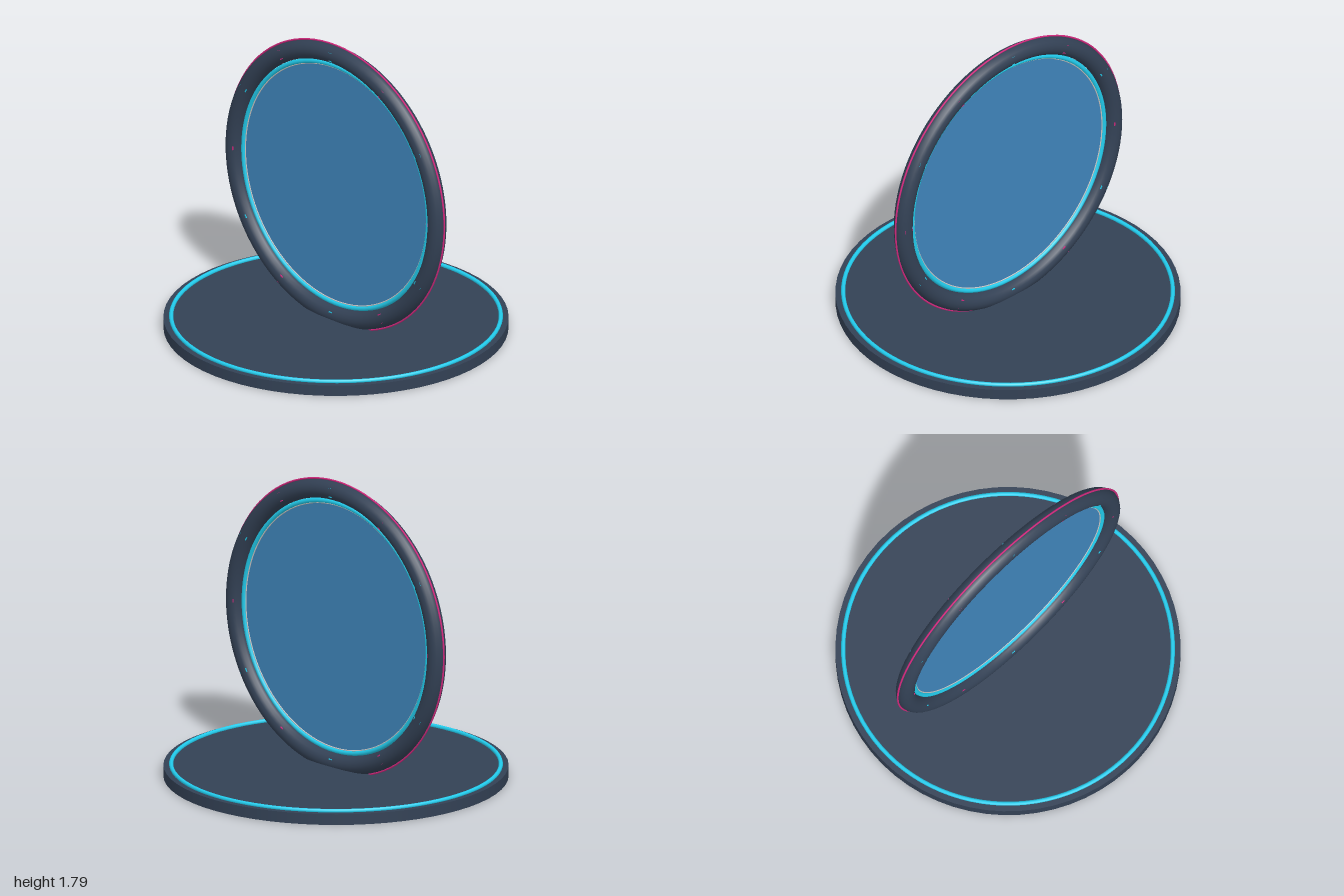
import * as THREE from 'three';

const material = (color) => new THREE.MeshStandardMaterial({ color });
const dark = material(0x334155);
const cyan = material(0x22cdee);
const magenta = material(0xd42a80);
const white = material(0xffffff);
const blue = material(0x3f85bb);
blue.side = THREE.DoubleSide;

function add(parent, name, geometry, mat) {
  const mesh = new THREE.Mesh(geometry, mat);
  mesh.name = name;
  parent.add(mesh);
  return mesh;
}

export function createModel() {
  const model = new THREE.Group();
  model.name = 'portal';

  // Round floor plate with a glowing rim
  const base = add(model, 'basePlate', new THREE.CylinderGeometry(1, 1, 0.065, 64), dark);
  base.position.y = 0.0325;
  const rim = add(model, 'baseGlowRing', new THREE.TorusGeometry(0.955, 0.0125, 8, 96), cyan);
  rim.rotation.x = Math.PI / 2;
  rim.position.y = 0.071;

  // Upright gate, sunk slightly into the plate
  const gate = new THREE.Group();
  gate.name = 'gate';
  gate.position.y = 0.9;
  model.add(gate);

  add(gate, 'frame', new THREE.TorusGeometry(0.82, 0.055, 16, 96), dark);
  add(gate, 'innerGlowRing', new THREE.TorusGeometry(0.75, 0.0145, 8, 96), cyan);
  add(gate, 'innerEdgeRing', new THREE.TorusGeometry(0.735, 0.004, 6, 96), white);
  add(gate, 'outerGlowRing', new THREE.TorusGeometry(0.88, 0.0055, 6, 96), magenta);
  add(gate, 'portalSurface', new THREE.CircleGeometry(0.735, 96), blue);

  // Twelve marker blocks in alternating colours, barely breaking the frame surface
  const markerShape = new THREE.BoxGeometry(0.055, 0.022, 0.098);
  for (let i = 0; i < 12; i++) {
    const angle = (i * Math.PI) / 6;
    const marker = add(gate, 'marker', markerShape, i % 2 ? cyan : magenta);
    marker.position.set(0.8175 * Math.cos(angle), 0.8175 * Math.sin(angle), 0);
    marker.rotation.z = angle;
  }
  return model;
}
